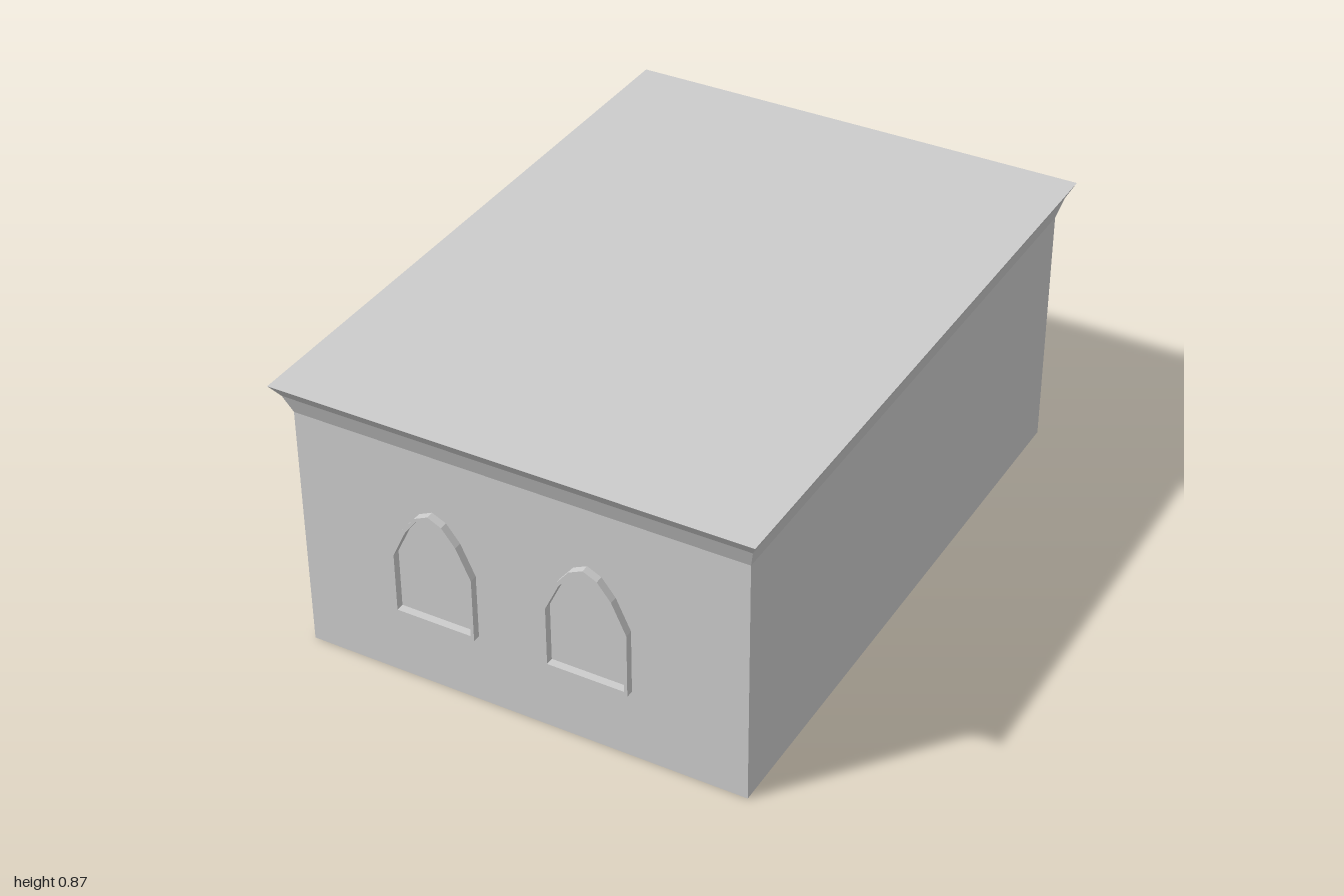
import * as THREE from 'three';

const HALF_X = 0.684, HALF_Z = 0.947;

// Four-sided lathe: each profile point is [scale of the plan, height]
function squareLathe(name, profile, material) {
  const points = profile.map(([s, y]) => new THREE.Vector2(s * Math.SQRT2, y));
  const geometry = new THREE.LatheGeometry(points, 4, Math.PI / 4);
  geometry.scale(HALF_X, 1, HALF_Z);
  const mesh = new THREE.Mesh(geometry, material);
  mesh.name = name;
  return mesh;
}

// Closed pointed-arch outline, mirrored about x = 0; half runs from sill to apex
function archOutline(half) {
  const right = half.map(([x, y]) => new THREE.Vector2(x, y));
  const left = half.slice(0, -1).reverse().map(([x, y]) => new THREE.Vector2(-x, y));
  return [...right, ...left];
}

export function createModel() {
  const group = new THREE.Group();
  group.name = 'building';
  const material = new THREE.MeshStandardMaterial({ color: 0xcccccc, flatShading: true });

  // Walls with floor, then the flared cornice closed by the flat roof
  group.add(squareLathe('walls', [[0, 0], [1, 0], [1, 0.767]], material));
  group.add(squareLathe('corniceAndRoof',
    [[1, 0.767], [1.025, 0.827], [1.056, 0.868], [0, 0.868]], material));

  // Raised pointed-arch window frames on the front wall
  const frameShape = new THREE.Shape(archOutline(
    [[0.127, 0.222], [0.127, 0.424], [0.083, 0.517], [0.042, 0.568], [0, 0.588]]));
  frameShape.holes.push(new THREE.Path(archOutline(
    [[0.117, 0.235], [0.117, 0.42], [0.075, 0.509], [0.037, 0.56], [0, 0.578]])));
  const frameGeometry = new THREE.ExtrudeGeometry(frameShape, { depth: 0.024, bevelEnabled: false });

  for (const [name, x] of [['rightWindowFrame', -0.26], ['leftWindowFrame', 0.212]]) {
    const frame = new THREE.Mesh(frameGeometry, material);
    frame.name = name;
    frame.position.set(x, 0, HALF_Z);
    group.add(frame);
  }
  return group;
}
